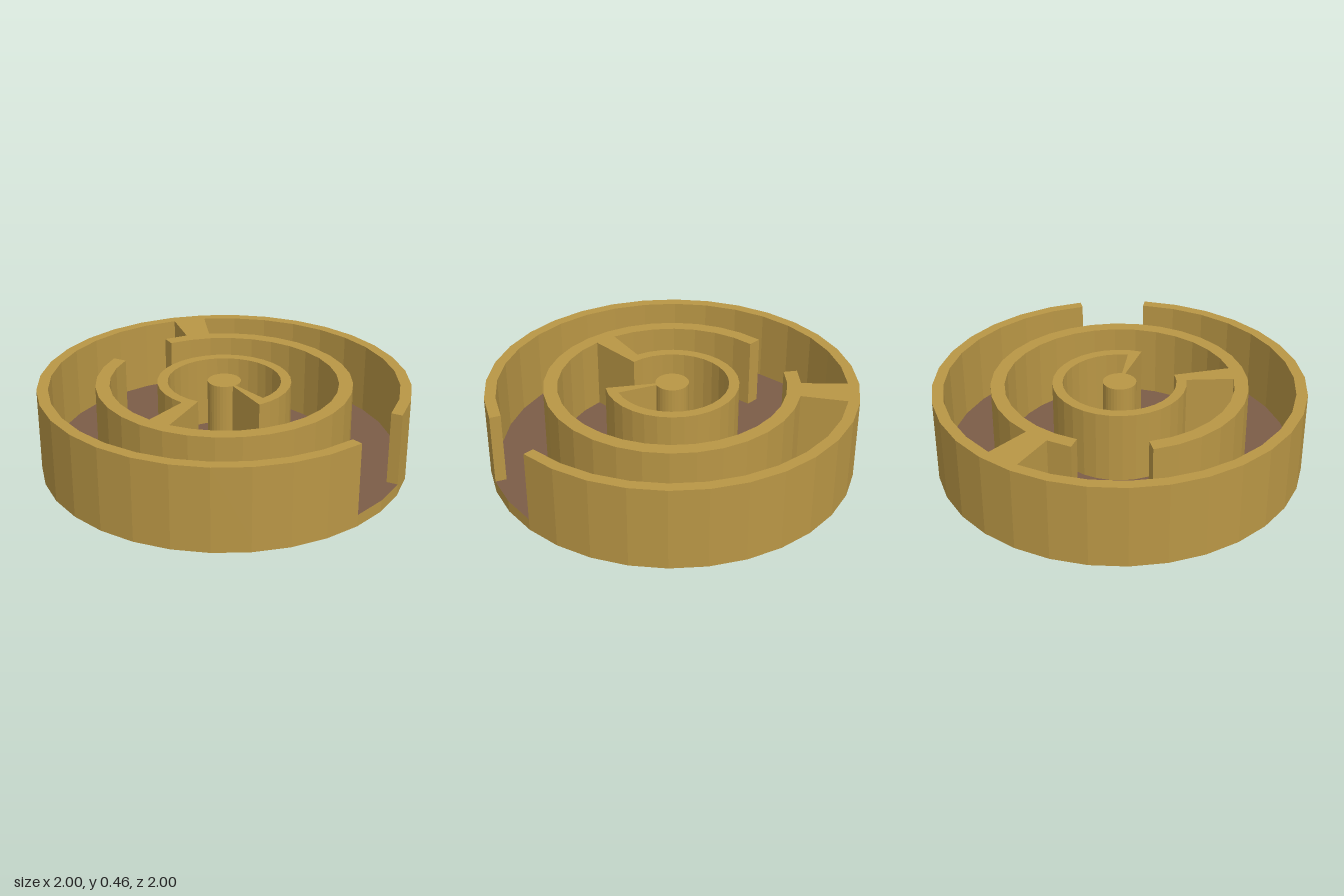
import * as THREE from 'three';

const SIDES = 32;      // all rings share the same facets
const FLOOR = 0.065;   // top of the base plate
const TOP = 0.46;      // top of the walls

export function createModel() {
  const maze = new THREE.Group();
  maze.name = 'roundMaze';

  const ochre = new THREE.MeshStandardMaterial({ color: 0xb99645, flatShading: true });
  ochre.name = 'ochre';
  const brown = new THREE.MeshStandardMaterial({ color: 0x7c5d47, flatShading: true });
  brown.name = 'brown';

  function add(name, geometry, material) {
    const mesh = new THREE.Mesh(geometry, material);
    mesh.name = name;
    maze.add(mesh);
    return mesh;
  }

  // Point on a facet corner, counted from the front (+z) towards +x
  function corner(radius, step) {
    const a = (step / SIDES) * Math.PI * 2;
    return new THREE.Vector2(radius * Math.sin(a), -radius * Math.cos(a));
  }

  // Wall filling the sector between two radii and two facet corners
  function wall(name, inner, outer, from, to) {
    const points = [];
    for (let i = from; i <= to; i++) points.push(corner(outer, i));
    for (let i = to; i >= from; i--) points.push(corner(inner, i));
    const geometry = new THREE.ExtrudeGeometry(new THREE.Shape(points), {
      depth: TOP - FLOOR, bevelEnabled: false,
    });
    geometry.rotateX(-Math.PI / 2).translate(0, FLOOR, 0);
    add(name, geometry, ochre);
  }

  // Base plate with a brown floor on top
  const base = new THREE.CylinderGeometry(1, 1, FLOOR, SIDES).translate(0, FLOOR / 2, 0);
  add('basePlate', base, [ochre, brown, ochre]);

  // Ring walls, each left open at its gate
  wall('outerRing', 0.94, 1, 2, 32);
  wall('middleRing', 0.615, 0.69, 18, 47);
  wall('innerRing', 0.305, 0.36, 31, 58);

  // Radial walls joining the rings
  wall('outerSpoke', 0.69, 0.94, 13, 14);
  wall('middleSpoke', 0.36, 0.615, 25, 26);
  wall('innerSpoke', 0.085, 0.305, 31, 32);

  // Post in the centre
  const post = new THREE.CylinderGeometry(0.09, 0.09, TOP - FLOOR, SIDES);
  add('centrePost', post.translate(0, (TOP + FLOOR) / 2, 0), ochre);

  return maze;
}
